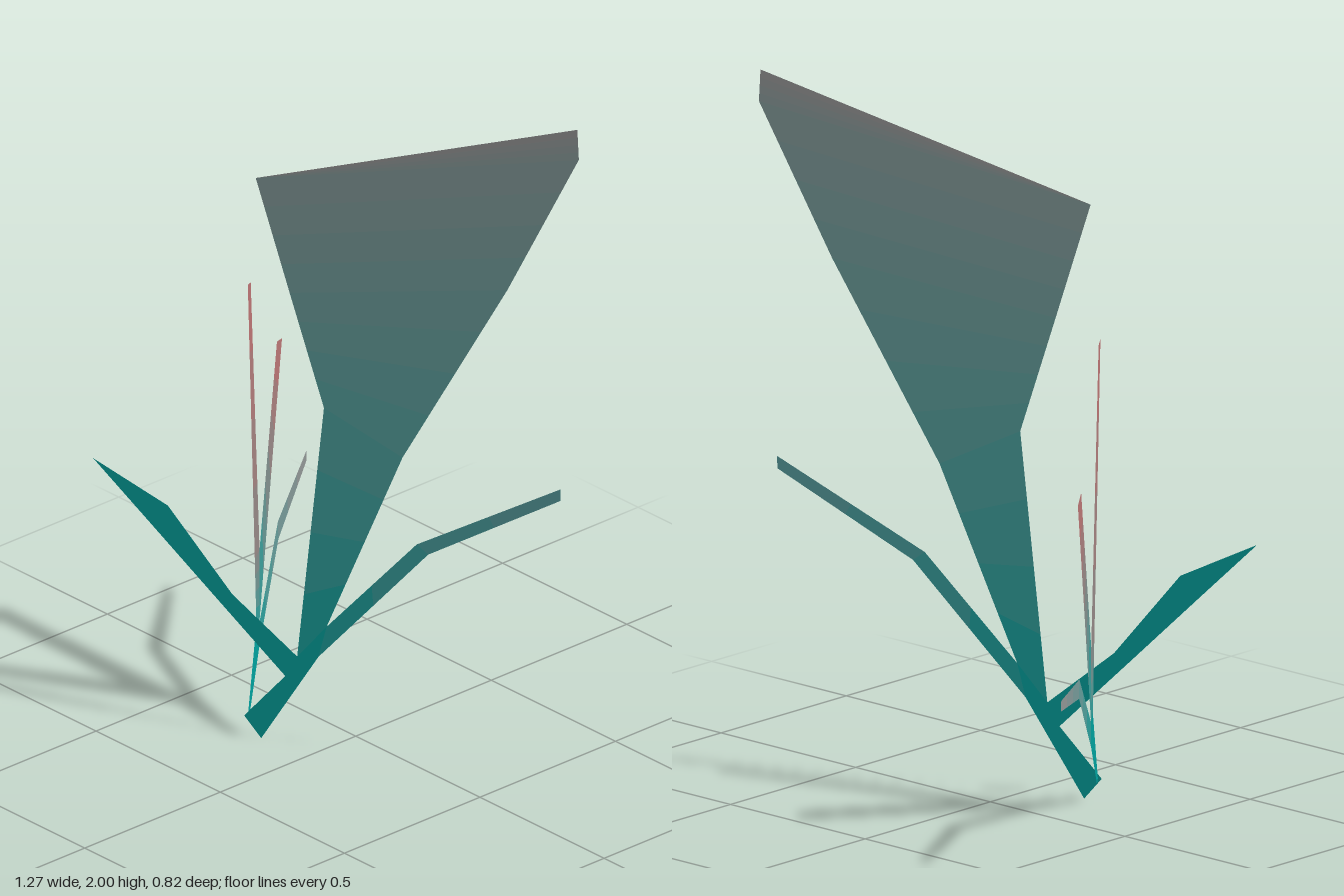
import * as THREE from 'three';

const TEAL = 0x00a09c, GREY = 0x969494, PINK = 0xc07070;

// Each spray of leaves lies in one flat, upright plane: z follows from x and y.
const broadPlane = (x, y) => 0.114 - 0.507 * x - 0.0175 * y;
const slimPlane = (x, y) => 0.5 + 1.434 * x + 0.0265 * y;

const mix = (a, b, t) => [a[0] + (b[0] - a[0]) * t, a[1] + (b[1] - a[1]) * t];

// Flat blade between rows of [left, right] edge points, tinted in bands from base to tip.
function blade(name, plane, rows, tip = TEAL, bands = 1) {
  const group = new THREE.Group();
  group.name = name;
  const total = (rows.length - 1) * bands;
  for (let i = 0; i < total; i++) {
    const r = Math.floor(i / bands), s = i % bands;
    const at = (side, k) => mix(rows[r][side], rows[r + 1][side], k / bands);
    const corners = [at(0, s), at(1, s), at(1, s + 1), at(0, s + 1)];
    const geometry = new THREE.BufferGeometry();
    geometry.setAttribute('position', new THREE.Float32BufferAttribute(
      corners.flatMap(([x, y]) => [x, y, plane(x, y)]), 3));
    geometry.setIndex([0, 1, 2, 0, 2, 3]);
    // One normal for the whole plane, also where a band tapers to a point
    const normal = new THREE.Vector3(-plane(1, 0) + plane(0, 0), -plane(0, 1) + plane(0, 0), 1).normalize();
    geometry.setAttribute('normal', new THREE.Float32BufferAttribute(
      corners.flatMap(() => normal.toArray()), 3));
    const color = new THREE.Color(TEAL).lerp(new THREE.Color(tip), (i + 0.5) / total);
    const mesh = new THREE.Mesh(geometry,
      new THREE.MeshStandardMaterial({ color, side: THREE.DoubleSide }));
    mesh.name = name + 'Band';
    group.add(mesh);
  }
  return group;
}

export function createModel() {
  const plant = new THREE.Group();
  plant.name = 'plant';

  // Broad spray: stem, large fan leaf and two side shoots
  const broad = new THREE.Group();
  broad.name = 'broadSpray';
  broad.add(
    blade('broadStem', broadPlane, [
      [[-0.21, 0.06], [-0.165, 0]],
      [[-0.105, 0.2], [-0.02, 0.275]],
      [[-0.075, 0.265], [0, 0.37]],
    ]),
    blade('fanLeaf', broadPlane, [
      [[-0.075, 0.265], [0, 0.37]],
      [[-0.015, 1.03], [0.19, 0.92]],
      [[-0.108, 1.36], [0.455, 1.48]],
      [[-0.2, 1.69], [0.635, 1.91]],
      [[-0.2, 1.69], [0.63, 2]],
    ], GREY, 4),
    blade('pointedShoot', broadPlane, [
      [[-0.105, 0.2], [-0.075, 0.265]],
      [[-0.29, 0.405], [-0.245, 0.42]],
      [[-0.46, 0.594], [-0.415, 0.655]],
      [[-0.61, 0.76], [-0.61, 0.76]],
    ]),
    blade('bentShoot', broadPlane, [
      [[-0.02, 0.275], [0, 0.37]],
      [[0.26, 0.64], [0.23, 0.665]],
      [[0.6, 0.87], [0.6, 0.905]],
    ], 0x5a9a9c, 2),
  );

  // Slim spray: stem, two straight blades and one bent shoot
  const slim = new THREE.Group();
  slim.name = 'slimSpray';
  slim.add(
    blade('slimStem', slimPlane, [
      [[-0.21, 0.05], [-0.2, 0.06]],
      [[-0.285, 0.19], [-0.272, 0.28]],
      [[-0.292, 0.265], [-0.272, 0.28]],
    ]),
    blade('tallBlade', slimPlane, [
      [[-0.292, 0.265], [-0.272, 0.28]],
      [[-0.305, 0.48], [-0.271, 0.48]],
      [[-0.285, 1.32], [-0.265, 1.33]],
    ], PINK, 4),
    blade('leaningBlade', slimPlane, [
      [[-0.292, 0.265], [-0.305, 0.48]],
      [[-0.49, 0.97], [-0.455, 0.99]],
    ], PINK, 6),
    blade('slimBentShoot', slimPlane, [
      [[-0.285, 0.19], [-0.292, 0.265]],
      [[-0.435, 0.4], [-0.435, 0.455]],
      [[-0.64, 0.465], [-0.64, 0.495]],
    ], GREY, 3),
  );

  plant.add(broad, slim);
  return plant;
}
